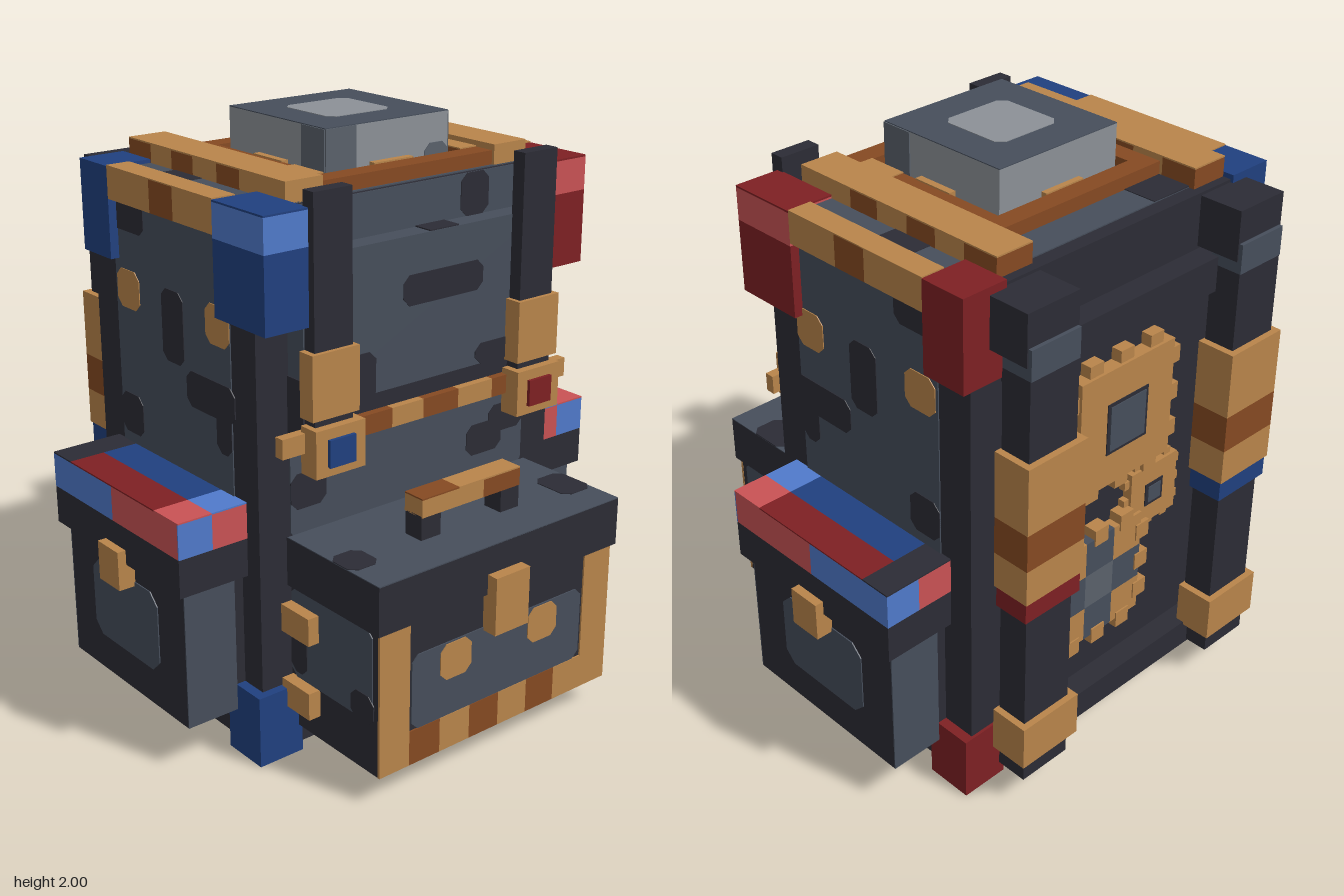
import * as THREE from 'three';

const mat = (name, color) => {
  const m = new THREE.MeshStandardMaterial({ color });
  m.name = name;
  return m;
};
const M = {
  charcoal: mat('charcoal', 0x2c2c35), slate: mat('slate', 0x464e5b), mid: mat('midGrey', 0x5a616b),
  grey: mat('paleGrey', 0x8c9197), brown: mat('brown', 0x864a22), tan: mat('tan', 0xb9854b),
  navy: mat('navy', 0x20407f), blue: mat('lightBlue', 0x507acb),
  red: mat('darkRed', 0x7e2023), coral: mat('coral', 0xc95254),
};

export function createModel() {
  const root = new THREE.Group();
  root.name = 'backpack';

  // box given by its bounds
  const box = (name, m, x0, x1, y0, y1, z0, z1) => {
    const g = new THREE.BoxGeometry(Math.abs(x1 - x0), y1 - y0, z1 - z0);
    const mesh = new THREE.Mesh(g, m);
    mesh.position.set((x0 + x1) / 2, (y0 + y1) / 2, (z0 + z1) / 2);
    mesh.name = name;
    root.add(mesh);
  };
  // both sides; a function as material picks the colour per side
  const pair = (name, m, x0, x1, ...rest) => {
    for (const s of [1, -1]) box(name, typeof m === 'function' ? m(s) : m, s * x0, s * x1, ...rest);
  };
  const dark = (s) => (s > 0 ? M.red : M.navy);
  const light = (s) => (s > 0 ? M.coral : M.blue);

  // thin plate with clipped corners on a face: u,v = x,y (front, back), z,y (sides) or x,z (top)
  const patch = (name, m, face, u0, u1, v0, v1, at, clip = 0.025) => {
    const w = Math.abs(u1 - u0) / 2, h = Math.abs(v1 - v0) / 2, c = Math.min(clip, w * 0.8, h * 0.8);
    const shape = new THREE.Shape([
      [w - c, -h], [w, c - h], [w, h - c], [w - c, h], [c - w, h], [-w, h - c], [-w, c - h], [c - w, -h],
    ].map((p) => new THREE.Vector2(...p)));
    const g = new THREE.ExtrudeGeometry(shape, { depth: 0.004, bevelEnabled: false });
    const u = (u0 + u1) / 2, v = (v0 + v1) / 2;
    const mesh = new THREE.Mesh(g, m);
    mesh.name = name;
    if (face === 'front') mesh.position.set(u, v, at);
    if (face === 'back') { g.rotateY(Math.PI); mesh.position.set(u, v, at); }
    if (face === 'left') { g.rotateY(Math.PI / 2); mesh.position.set(at, v, u); }
    if (face === 'right') { g.rotateY(-Math.PI / 2); mesh.position.set(-at, v, u); }
    if (face === 'top') { g.rotateX(-Math.PI / 2); mesh.position.set(u, at, v); }
    root.add(mesh);
  };
  const sides = (name, m, ...r) => ['left', 'right'].forEach((f) => patch(name, m, f, ...r));

  // main body
  box('base', M.charcoal, -0.6, 0.6, 0, 0.07, -0.58, 0.28);
  box('body', M.charcoal, -0.62, 0.62, 0.065, 1.82, -0.6, 0.295);
  sides('sidePanel', M.slate, 0.17, -0.47, 0.85, 1.76, 0.62);
  [[0.19, -0.07, 1.13, 1.25], [-0.08, -0.2, 1.25, 1.49], [-0.29, -0.47, 1.63, 1.78], [-0.34, -0.47, 0.93, 1.07],
    [0.17, 0.09, 1.02, 1.16]].forEach((p) => sides('sideStain', M.charcoal, ...p, 0.6225));
  [[0.17, 0.045], [-0.33, -0.46]].forEach(([a, b]) => sides('sideStud', M.tan, a, b, 1.37, 1.5, 0.623));
  patch('lowerFrontPanel', M.slate, 'front', -0.5, 0.5, 0.75, 1.2, 0.295);
  [[-0.5, -0.36, 0.85, 0.97], [0.24, 0.4, 0.84, 0.95], [0.34, 0.5, 0.9, 1.0]].forEach((p) =>
    patch('frontStain', M.charcoal, 'front', ...p, 0.2975));
  patch('upperFrontPanel', M.slate, 'front', -0.5, 0.5, 1.66, 1.82, 0.295, 0);
  patch('upperFrontStain', M.charcoal, 'front', 0.19, 0.31, 1.68, 1.82, 0.2975);
  patch('topPanel', M.slate, 'top', -0.58, 0.58, -0.55, 0.28, 1.82, 0);
  patch('topStain', M.charcoal, 'top', -0.36, -0.19, -0.55, -0.43, 1.8225, 0);
  pair('topStain', M.charcoal, 0.49, 0.57, 1.82, 1.826, -0.3, -0.15);

  // front flap
  box('flap', M.slate, -0.5, 0.5, 1.2, 1.68, 0.29, 0.372);
  box('flapHem', M.charcoal, -0.5, 0.5, 1.1, 1.22, 0.29, 0.368);
  pair('flapSide', M.charcoal, 0.5, 0.505, 1.1, 1.3, 0.29, 0.372);
  patch('flapStain', M.charcoal, 'front', -0.11, 0.225, 1.455, 1.555, 0.371);
  patch('flapStain', M.charcoal, 'front', -0.35, -0.22, 1.18, 1.34, 0.371);
  patch('flapStain', M.charcoal, 'front', 0.2, 0.36, 1.2, 1.27, 0.371);
  patch('flapStain', M.charcoal, 'top', 0, 0.12, 0.29, 0.37, 1.68, 0);

  // corner guards
  pair('frontTopGuard', dark, 0.49, 0.655, 1.475, 1.72, 0.14, 0.395);
  pair('frontTopGuardBand', light, 0.49, 0.655, 1.72, 1.83, 0.14, 0.395);
  pair('frontTopGuardCap', dark, 0.49, 0.655, 1.83, 1.836, 0.14, 0.395);
  pair('backTopGuard', dark, 0.49, 0.655, 1.53, 1.836, -0.61, -0.445);
  pair('frontFoot', dark, 0.485, 0.655, 0, 0.25, 0.155, 0.325);
  pair('backFoot', dark, 0.485, 0.655, 0, 0.23, -0.61, -0.445);

  // striped bars along the top edges
  const stripes = (name, x0, x1, y0, y1, edges, first) => {
    for (let i = 0; i < edges.length - 1; i++)
      pair(name, (i + first) % 2 ? M.brown : M.tan, x0, x1, y0, y1, edges[i + 1], edges[i]);
  };
  stripes('topBar', 0.35, 0.49, 1.82, 1.885, [0.28, 0.05, -0.07, -0.2, -0.32, -0.44, -0.57], 0);
  stripes('edgeBar', 0.57, 0.655, 1.73, 1.836, [0.14, -0.07, -0.2, -0.445], 0);
  pair('topBarFace', M.tan, 0.35, 0.49, 1.885, 1.89, -0.57, 0.28);
  pair('edgeBarFace', M.tan, 0.57, 0.655, 1.836, 1.84, -0.445, 0.14);

  // hatch on top with a framed block
  box('hatchFrame', M.brown, -0.35, 0.35, 1.81, 1.87, 0.195, 0.27);
  box('hatchFrame', M.brown, -0.35, 0.35, 1.81, 1.87, -0.43, -0.36);
  pair('hatchFrame', M.brown, 0.28, 0.35, 1.81, 1.87, -0.36, 0.195);
  pair('hatchFrameInlay', M.tan, 0.28, 0.35, 1.87, 1.874, 0.05, 0.195);
  box('hatchFloor', M.charcoal, -0.28, 0.28, 1.81, 1.84, -0.36, 0.195);
  pair('hatchClip', M.tan, 0.26, 0.285, 1.83, 1.875, -0.16, -0.01);
  box('hatchClip', M.tan, -0.08, 0.08, 1.83, 1.875, -0.36, -0.34);
  box('hatchClip', M.tan, -0.08, 0.08, 1.83, 1.875, 0.17, 0.195);
  box('topBlock', M.grey, -0.25, 0.25, 1.83, 1.995, -0.335, 0.165);
  box('topBlockCap', M.slate, -0.25, 0.25, 1.995, 1.998, -0.335, 0.165);
  patch('topBlockCentre', M.grey, 'top', -0.13, 0.125, -0.21, 0.04, 1.996);
  patch('topBlockShade', M.mid, 'front', -0.25, -0.13, 1.84, 1.995, 0.165, 0);
  sides('topBlockShade', M.mid, 0.165, 0.05, 1.84, 1.995, 0.25, 0);
  patch('topBlockShade', M.mid, 'front', 0.15, 0.25, 1.84, 1.9, 0.165);

  // front straps, belt and buckles
  pair('frontStrap', M.charcoal, 0.35, 0.495, 1.1, 1.885, 0.37, 0.42);
  pair('strapSleeve', M.tan, 0.335, 0.515, 1.19, 1.4, 0.372, 0.435);
  pair('buckle', M.tan, 0.325, 0.515, 1.01, 1.165, 0.375, 0.45);
  pair('buckleGem', dark, 0.37, 0.47, 1.04, 1.13, 0.44, 0.462);
  [-0.6, -0.3, -0.17, -0.04, 0.11, 0.26, 0.34, 0.6].forEach((x, i, a) => {
    if (i) box('belt', i % 2 ? M.tan : M.brown, a[i - 1], x, 1.08, 1.145, 0.36, 0.395);
  });

  // front pocket
  box('frontPocket', M.charcoal, -0.5, 0.5, 0.1, 0.61, 0.29, 0.728);
  box('frontPocketLid', M.charcoal, -0.515, 0.515, 0.6, 0.765, 0.29, 0.745);
  patch('lidTop', M.slate, 'top', -0.515, 0.515, 0.3, 0.745, 0.764, 0);
  patch('lidStain', M.charcoal, 'top', -0.515, -0.4, 0.5, 0.62, 0.7665);
  patch('lidStain', M.charcoal, 'top', 0.39, 0.515, 0.47, 0.63, 0.7665);
  patch('pocketPanel', M.slate, 'front', -0.37, 0.37, 0.22, 0.48, 0.728);
  sides('pocketSidePanel', M.slate, 0.3, 0.7, 0.28, 0.6, 0.5);
  sides('pocketSideStain', M.charcoal, 0.6, 0.71, 0.27, 0.37, 0.5025);
  sides('pocketSideStain', M.charcoal, 0.3, 0.38, 0.3, 0.44, 0.5025);
  pair('pocketEdge', M.tan, 0.38, 0.501, 0.1, 0.6, 0.725, 0.734);
  for (let i = 0; i < 6; i++)
    box('pocketHem', i % 2 ? M.tan : M.brown, -0.38 + i * 0.1267, -0.38 + (i + 1) * 0.1267, 0.1, 0.22, 0.725, 0.734);
  for (const s of [1, -1]) patch('pocketStud', M.tan, 'front', s * 0.125, s * 0.255, 0.35, 0.475, 0.7315);
  box('pocketClasp', M.tan, -0.072, 0.072, 0.47, 0.67, 0.72, 0.785);
  for (const y of [0.185, 0.45]) pair('pocketSideClip', M.tan, 0.49, 0.545, y, y + 0.095, 0.3, 0.44);
  pair('handlePost', M.charcoal, 0.13, 0.21, 0.76, 0.85, 0.51, 0.585);
  box('handle', M.tan, -0.21, 0.05, 0.845, 0.905, 0.505, 0.588);
  box('handle', M.brown, 0.05, 0.21, 0.845, 0.905, 0.505, 0.588);
  box('handleTop', M.brown, -0.21, -0.055, 0.905, 0.91, 0.505, 0.588);
  box('handleTop', M.tan, -0.055, 0.21, 0.905, 0.91, 0.505, 0.588);

  // side pockets with folded blankets
  pair('sidePocket', M.charcoal, 0.61, 0.845, 0.16, 0.65, -0.48, 0.2);
  pair('sidePocketFront', M.slate, 0.655, 0.845, 0.16, 0.64, 0.2, 0.204);
  pair('sidePocketBack', M.slate, 0.655, 0.845, 0.16, 0.64, -0.484, -0.48);
  sides('sidePocketPanel', M.slate, 0.05, -0.34, 0.29, 0.57, 0.845, 0.04);
  pair('sidePocketLid', M.charcoal, 0.61, 0.875, 0.64, 0.77, -0.51, 0.23);
  pair('sidePocketClasp', M.tan, 0.84, 0.905, 0.555, 0.69, -0.2, -0.08);
  pair('blanket', M.coral, 0.61, 0.875, 0.77, 0.888, -0.15, 0.227);
  pair('blanket', M.blue, 0.61, 0.875, 0.77, 0.888, -0.507, -0.15);
  for (const [a, b] of [[0.227, 0.231], [-0.511, -0.507]]) {
    pair('blanketEnd', M.coral, 0.61, 0.75, 0.77, 0.888, a, b);
    pair('blanketEnd', M.blue, 0.75, 0.875, 0.77, 0.888, a, b);
  }
  [[M.charcoal, M.charcoal, -0.511, -0.4], [M.navy, M.red, -0.4, 0.1], [M.blue, M.coral, 0.1, 0.231]].forEach(
    ([inner, outer, a, b]) => {
      pair('blanketTop', inner, 0.61, 0.75, 0.888, 0.893, a, b);
      pair('blanketTop', outer, 0.75, 0.875, 0.888, 0.893, a, b);
    });

  // back pads and shoulder straps
  box('upperBackPad', M.charcoal, -0.5, 0.5, 1.51, 1.63, -0.68, -0.59);
  box('lowerBackPad', M.charcoal, -0.5, 0.5, 0.1, 0.2, -0.68, -0.59);
  pair('strapAnchor', M.charcoal, 0.35, 0.555, 1.64, 1.81, -0.755, -0.59);
  pair('shoulderStrap', M.charcoal, 0.355, 0.55, 0.11, 1.6, -0.765, -0.655);
  pair('shoulderStrapPatch', M.slate, 0.355, 0.55, 1.6, 1.7, -0.768, -0.655);
  [[M.tan, 1.1, 1.33], [M.brown, 0.97, 1.1], [M.tan, 0.845, 0.97], [M.tan, 0.19, 0.35]].forEach(([m, a, b]) =>
    pair('strapWrap', m, 0.33, 0.573, a, b, -0.787, -0.65));
  pair('strapBand', dark, 0.335, 0.568, 0.77, 0.845, -0.78, -0.655);

  // gears on the back
  const gear = (x, y, r, hub, z) => {
    box('gear', M.tan, x - r, x + r, y - r, y + r, z, -0.59);
    box('gearHub', M.charcoal, x - hub - 0.012, x + hub + 0.012, y - hub - 0.012, y + hub + 0.012, z - 0.003, -0.59);
    box('gearHub', M.slate, x - hub, x + hub, y - hub, y + hub, z - 0.006, -0.59);
    for (const t of [-0.65, 0, 0.65]) for (const s of [-1, 1]) {
      const c = t * r, n = r * 0.14, e = r * 1.2;
      box('gearTooth', M.tan, x + c - n, x + c + n, y + Math.min(s * r, s * e), y + Math.max(s * r, s * e), z + 0.01, -0.59);
      box('gearTooth', M.tan, x + s * r, x + s * e, y + c - n, y + c + n, z + 0.01, -0.59);
    }
  };
  gear(0, 1.18, 0.21, 0.08, -0.65);
  gear(-0.17, 0.82, 0.11, 0.03, -0.635);
  // lower gear: slate grid between tan spokes
  box('lowerGearPlate', M.grey, -0.09, 0.27, 0.4, 0.76, -0.632, -0.59);
  for (let i = 0; i < 3; i++) for (let j = 0; j < 3; j++) {
    const x = 0.09 + (i - 1) * 0.13, y = 0.58 + (j - 1) * 0.13;
    box('lowerGearTile', (i + j) % 2 ? M.slate : i === 1 ? M.mid : M.tan, x - 0.065, x + 0.065, y - 0.065, y + 0.065, -0.645, -0.6);
  }
  for (const s of [-1, 1]) for (const t of [-0.12, 0, 0.12]) {
    box('lowerGearTooth', M.tan, 0.06 + t, 0.12 + t, 0.55 + s * 0.2, 0.61 + s * 0.2, -0.65, -0.59);
    box('lowerGearTooth', M.tan, 0.06 + s * 0.2, 0.12 + s * 0.2, 0.55 + t, 0.61 + t, -0.65, -0.59);
  }
  return root;
}
